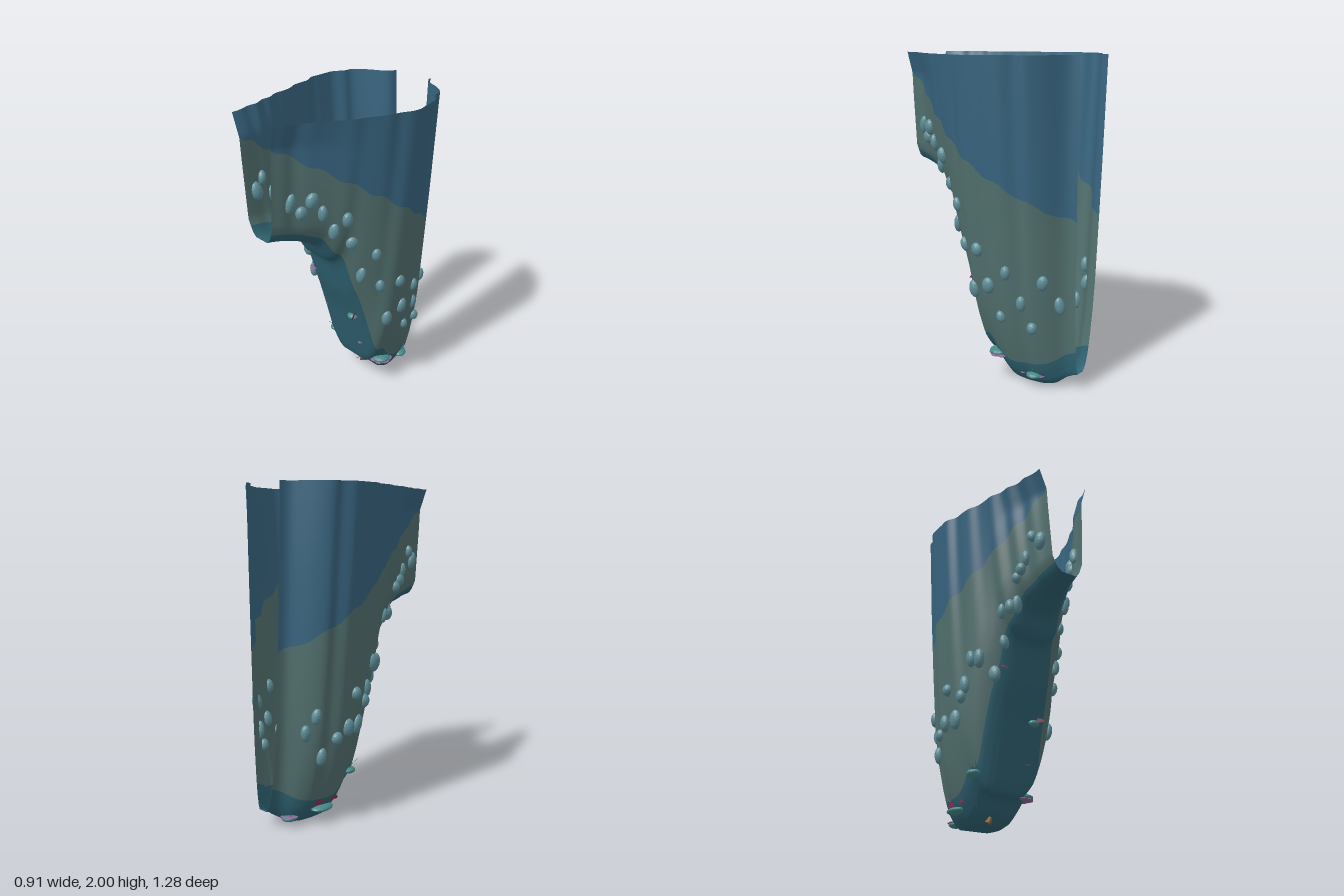
import * as THREE from 'three';

// Values sampled at even steps from the back (z = -0.64) to the front (z = 0.64)
const LEFT_RIM = [.08, .12, .24, .315, .335, .39, .415, .43, .45, .445, .42, .41, .385, .355, .335, .30, .265, .23, .185, .175, .15];
const RIGHT_RIM = [.20, .225, .34, .41, .42, .455, .455, .45, .445, .405, .395, .38, .345, .33, .32, .285, .275, .24, .235, .21, .20];
const FLOOR = [.11, .08, .03, .01, 0, 0, .01, .06, .15, .18, .40, .62, .80, 1.02, 1.08, 1.19, 1.23, 1.26, 1.28, 1.30, 1.31];
// Wall cross-sections: [height fraction, share of the rim width]
const WIDE = [[0, .22], [.015, .33], [.05, .44], [.1, .53], [.2, .65], [.3, .73], [.5, .82], [.7, .9], [1, 1]];
const NARROW = [[0, .28], [.02, .38], [.05, .46], [.13, .6], [.63, .72], [.81, .75], [1, 1]];

const lerp = THREE.MathUtils.lerp;
const curveOf = a => new THREE.SplineCurve(a.map((v, i) => new THREE.Vector2(i, v)));
const curves = { left: curveOf(LEFT_RIM), right: curveOf(RIGHT_RIM), floor: curveOf(FLOOR) };
const sample = (name, z) => curves[name].getPoint(THREE.MathUtils.clamp((z + .64) / 1.28, 0, 1)).y;
const floorAt = z => Math.max(0, sample('floor', z));

function profile(table, t) {
  let i = 1;
  while (i < table.length - 1 && t > table[i][0]) i++;
  const [a, b] = [table[i - 1], table[i]];
  return lerp(a[1], b[1], (t - a[0]) / (b[0] - a[0]));
}

// Point on the canyon; side is +1 or -1, t runs from floor to rim
function wallPoint(z, side, t) {
  const f = lerp(profile(WIDE, t), profile(NARROW, t), THREE.MathUtils.smoothstep(z, .15, .64));
  return new THREE.Vector3(side * f * sample(side > 0 ? 'left' : 'right', z), lerp(floorAt(z), 2, t), z);
}
const wallAtHeight = (z, side, y) =>
  wallPoint(z, side, THREE.MathUtils.clamp((y - floorAt(z)) / (2 - floorAt(z)), 0, 1));

// Point on the canyon bed beneath (x, z)
function ground(x, z) {
  let lo = 0, hi = 1;
  for (let i = 0; i < 18; i++) {
    const mid = (lo + hi) / 2;
    if (Math.abs(wallPoint(z, Math.sign(x) || 1, mid).x) < Math.abs(x)) lo = mid; else hi = mid;
  }
  return new THREE.Vector3(x, lerp(floorAt(z), 2, lo), z);
}

let seed = 7;
const rnd = (a = 0, b = 1) => {
  seed = (seed * 16807) % 2147483647;
  return lerp(a, b, seed / 2147483647);
};

const mat = (color, flatShading = true) =>
  new THREE.MeshStandardMaterial({ color, flatShading, side: THREE.DoubleSide });
const M = {
  bed: mat(0x2f6272, false), lower: mat(0x52716f, false), upper: mat(0x386580, false),
  rock: mat(0x5f8e98), mound: mat(0x458886), petal: mat(0x8f6a98), heart: mat(0x6f9aa8),
  coral: mat(0x2f7a70), fan: mat(0x8a2850), wood: mat(0x8a6a42), darkWood: mat(0x4a3826), stone: mat(0xa5a888)
};

function add(parent, name, geo, material, x = 0, y = 0, z = 0) {
  const m = new THREE.Mesh(geo, material);
  m.name = name;
  m.position.set(x, y, z);
  parent.add(m);
  return m;
}
function groupAt(parent, name, p) {
  const g = new THREE.Group();
  g.name = name;
  g.position.copy(p);
  parent.add(g);
  return g;
}

// Open U-shaped shell with bed, lower wall and upper wall bands
function canyonGeometry() {
  const N = 96, BED = 9, LOW = 14, TOP = 8, R = BED + LOW + TOP;
  const pos = [], bands = [[], [], []], W = 2 * R + 2;
  for (let i = 0; i <= N; i++) {
    const z = lerp(-.64, .64, i / N), f = floorAt(z);
    const tint = (1.47 + .64 * z + .012 * Math.sin(z * 38) - f) / (2 - f);
    const heightOf = r => r <= BED ? .08 * (r / BED) ** 1.6
      : r <= BED + LOW ? lerp(.08, tint, (r - BED) / LOW) : lerp(tint, 1, (r - BED - LOW) / TOP);
    for (let c = 0; c < W; c++) {
      const side = c <= R ? -1 : 1;
      pos.push(...wallPoint(z, side, heightOf(side < 0 ? R - c : c - R - 1)).toArray());
    }
  }
  for (let i = 0; i < N; i++) for (let c = 0; c < W - 1; c++) {
    const r = c < R ? R - c - 1 : c - R - 1, a = i * W + c;
    bands[r < BED ? 0 : r < BED + LOW ? 1 : 2].push(a, a + W, a + 1, a + 1, a + W, a + W + 1);
  }
  const g = new THREE.BufferGeometry();
  g.setAttribute('position', new THREE.Float32BufferAttribute(pos, 3));
  g.setIndex(bands.flat());
  let start = 0;
  bands.forEach((b, k) => { g.addGroup(start, b.length, k); start += b.length; });
  g.computeVertexNormals();
  return g;
}

// Rosette of flattened petals in two rings
function flower(root, x, z, r) {
  const g = groupAt(root, 'seaFlower', ground(x, z));
  for (const [n, ring, size, y] of [[7, .6, .42, .12], [5, .3, .3, .25]])
    for (let i = 0; i < n; i++) {
      const a = i / n * Math.PI * 2 + y;
      const p = add(g, 'petal', new THREE.SphereGeometry(size * r, 8, 5), M.petal,
        Math.cos(a) * ring * r, y * r + .008, Math.sin(a) * ring * r);
      p.scale.y = .25;
    }
  add(g, 'flowerHeart', new THREE.IcosahedronGeometry(r * .16, 1), M.heart, 0, r * .35 + .008, 0);
}

// Bush of thin forking twigs
function coral(root, x, z, r) {
  const g = groupAt(root, 'branchCoral', ground(x, z));
  const twig = (from, to, w) => {
    const d = to.clone().sub(from);
    const m = add(g, 'twig', new THREE.CylinderGeometry(w * .6, w, d.length(), 5), M.coral);
    m.position.copy(from).addScaledVector(d, .5);
    m.quaternion.setFromUnitVectors(new THREE.Vector3(0, 1, 0), d.normalize());
  };
  for (let i = 0; i < 9; i++) {
    const a = i * 2.4, tip = new THREE.Vector3(Math.cos(a) * r * rnd(.3, .7), r * rnd(.6, 1.2), Math.sin(a) * r * rnd(.3, .7));
    twig(new THREE.Vector3(), tip, r * .035);
    for (let k = 0; k < 3; k++)
      twig(tip.clone().multiplyScalar(.6), tip.clone().add(new THREE.Vector3(rnd(-.4, .4), rnd(0, .4), rnd(-.4, .4)).multiplyScalar(r)), r * .025);
  }
}

// Small wreck leaning on its side
function wreck(root) {
  const g = groupAt(root, 'shipwreck', new THREE.Vector3(-.01, .035, -.3));
  g.rotation.set(.12, -.3, -.3);
  const s = new THREE.Shape();
  s.moveTo(-.03, -.1);
  s.lineTo(.03, -.1);
  s.quadraticCurveTo(.05, .04, 0, .12);
  s.quadraticCurveTo(-.05, .04, -.03, -.1);
  const hull = add(g, 'hull', new THREE.ExtrudeGeometry(s, { depth: .035, bevelEnabled: false, curveSegments: 8 }), M.wood, 0, .03, 0);
  hull.rotation.x = Math.PI / 2;
  add(g, 'sternCabin', new THREE.BoxGeometry(.055, .025, .045), M.wood, 0, .042, -.075);
  add(g, 'hatch', new THREE.BoxGeometry(.025, .006, .04), M.darkWood, 0, .032, .01);
  for (const z of [-.03, .03, .07]) {
    const mast = add(g, 'mast', new THREE.CylinderGeometry(.002, .003, .09, 6), M.darkWood, .035, .055, z);
    mast.rotation.z = -1.0;
    const yard = add(g, 'yard', new THREE.CylinderGeometry(.0015, .0015, .05, 5), M.darkWood, .05, .064, z);
    yard.rotation.x = 1.4;
  }
  const sprit = add(g, 'bowsprit', new THREE.CylinderGeometry(.001, .002, .06, 5), M.darkWood, 0, .04, .13);
  sprit.rotation.x = 1.2;
}

export function createModel() {
  const root = new THREE.Group();
  root.name = 'seaCanyon';
  add(root, 'canyonWalls', canyonGeometry(), [M.bed, M.lower, M.upper]);

  // Boulders set in the walls: [z, y]
  const boulders = {
    1: [[.53, 1.54], [.47, 1.47], [.42, 1.54], [.36, 1.45], [.29, 1.32], [.23, 1.39], [.18, 1.22], [.05, 1.12], [.11, .98], [0, .88],
      [-.13, .88], [-.31, .76], [-.5, .71], [-.07, .61], [-.19, .66], [-.38, .57], [-.56, .56], [-.26, .47], [-.44, .42]],
    '-1': [[.555, 1.54], [.5, 1.6], [.43, 1.48], [.39, 1.42], [.35, 1.38], [.3, 1.23], [.27, 1.22], [.21, 1.21], [.17, 1.03], [.1, .84],
      [.05, .94], [0, .95], [-.06, .8], [-.09, .73], [-.15, .6], [-.2, .8], [-.25, .6], [-.33, .55], [-.42, .45], [-.47, .7], [-.51, .6]]
  };
  for (const side of [1, -1]) for (const [z, y] of boulders[side]) {
    const p = wallAtHeight(z, side, y);
    const m = add(root, 'boulder', new THREE.IcosahedronGeometry(1, 2), M.rock, p.x, y, z);
    m.scale.set(rnd(.027, .034), rnd(.035, .062), rnd(.027, .042));
    m.rotation.set(rnd(-.25, .25), rnd(-.5, .5), side * -.12);
  }

  // Low mounds under the growths: [x, z, rx, rz]
  for (const [x, z, rx, rz] of [[-.19, -.33, .055, .08], [.12, .05, .038, .035], [.18, -.16, .06, .06], [-.2, -.11, .045, .05],
    [-.1, -.51, .045, .05], [.13, -.4, .05, .05]]) {
    const p = ground(x, z);
    add(root, 'mound', new THREE.IcosahedronGeometry(1, 2), M.mound, x, p.y + .005, z).scale.set(rx, .022, rz);
  }

  for (const [x, z, r] of [[-.1, -.51, .055], [.17, -.17, .078], [-.15, .13, .035], [.12, -.44, .03], [.15, -.33, .018], [.12, -.02, .018], [-.145, .03, .012]])
    flower(root, x, z, r);
  for (const [x, z, r] of [[-.19, -.11, .07], [.13, -.4, .06], [-.14, -.18, .035], [.05, .3, .025]]) coral(root, x, z, r);

  // Thin upright fans: [x, z, half length, turn]
  for (const [x, z, r, turn] of [[-.21, -.31, .1, 0], [.14, .05, .06, .4]]) {
    const p = ground(x, z);
    const fan = add(root, 'seaFan', new THREE.CircleGeometry(r, 14, 0, Math.PI), M.fan, x, p.y, z);
    fan.scale.y = .5;
    fan.rotation.y = Math.PI / 2 + turn;
  }

  // Stepped stone ruins on the ledge
  for (const [x, z] of [[-.135, .29], [-.12, .35], [-.1, .43]]) {
    const g = groupAt(root, 'ruin', new THREE.Vector3(x - .02, 1.485, z));
    add(g, 'slab', new THREE.BoxGeometry(.05, .012, .035), M.stone);
    add(g, 'block', new THREE.BoxGeometry(.02, .02, .018), M.stone, .012, .014, -.015);
    add(g, 'step', new THREE.BoxGeometry(.018, .01, .02), M.stone, -.012, .01, -.022);
  }

  wreck(root);
  return root;
}
